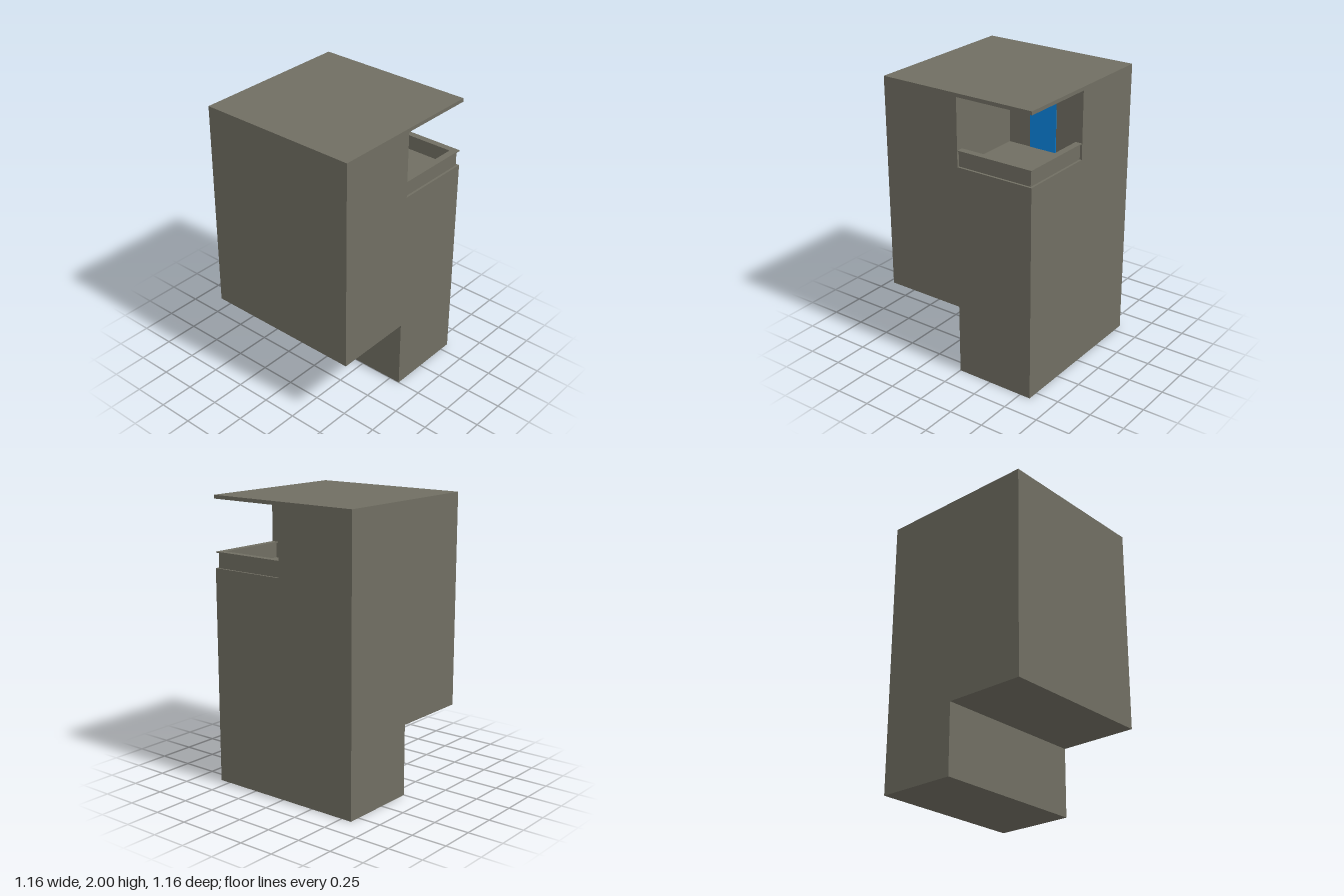
import * as THREE from 'three';

const concrete = new THREE.MeshStandardMaterial({ color: 0x706e62 });
const blue = new THREE.MeshStandardMaterial({ color: 0x0a84e0 });

const H = 0.578;       // half width and half depth
const FLOOR = 1.51;    // balcony floor
const CEIL = 1.975;    // underside of the roof slab
const BX = 0.01;       // balcony side wall
const BZ = 0.015;      // balcony back wall

// Box from its low and high corners
function box(name, [x0, y0, z0], [x1, y1, z1], material = concrete) {
  const mesh = new THREE.Mesh(new THREE.BoxGeometry(x1 - x0, y1 - y0, z1 - z0), material);
  mesh.position.set((x0 + x1) / 2, (y0 + y1) / 2, (z0 + z1) / 2);
  mesh.name = name;
  return mesh;
}

// Extrusion of a polygon along +z
function prism(name, points, depth) {
  const shape = new THREE.Shape(points.map(([x, y]) => new THREE.Vector2(x, y)));
  const geometry = new THREE.ExtrudeGeometry(shape, { depth, bevelEnabled: false });
  const mesh = new THREE.Mesh(geometry, concrete);
  mesh.name = name;
  return mesh;
}

// L-shaped plan strip following the two open balcony sides
function parapetStrip(name, outer, inner, x0, z0, y0, y1) {
  const a = H - outer, b = H - inner;
  const strip = prism(name, [[x0, -a], [a, -a], [a, -z0], [b, -z0], [b, -b], [x0, -b]], y1 - y0);
  strip.rotation.x = -Math.PI / 2;
  strip.position.y = y0;
  return strip;
}

export function createModel() {
  const model = new THREE.Group();
  model.name = 'towerBlock';

  // Main block with the passage cut out below one side
  const lower = prism('lowerBlock', [[0, 0], [H, 0], [H, FLOOR], [-H, FLOOR], [-H, 0.5], [0, 0.5]], 2 * H);
  lower.position.z = -H;
  model.add(lower);

  // Top storey, leaving the front corner open for the balcony
  const storey = prism('topStorey', [[-H, -H], [BX, -H], [BX, -BZ], [H, -BZ], [H, H], [-H, H]], CEIL - FLOOR);
  storey.rotation.x = -Math.PI / 2;
  storey.position.y = FLOOR;
  model.add(storey);

  model.add(box('roof', [-H, CEIL, -H], [H, 2, H]));

  // Balcony parapet with a thin overhanging cap
  const balcony = new THREE.Group();
  balcony.name = 'balcony';
  balcony.add(
    parapetStrip('parapet', 0.016, 0.036, BX, BZ, FLOOR, 1.615),
    parapetStrip('parapetCap', 0.002, 0.05, BX, BZ, 1.615, 1.622),
    box('door', [0.175, FLOOR, BZ - 0.005], [0.378, 1.86, BZ + 0.004], blue)
  );
  model.add(balcony);

  return model;
}
